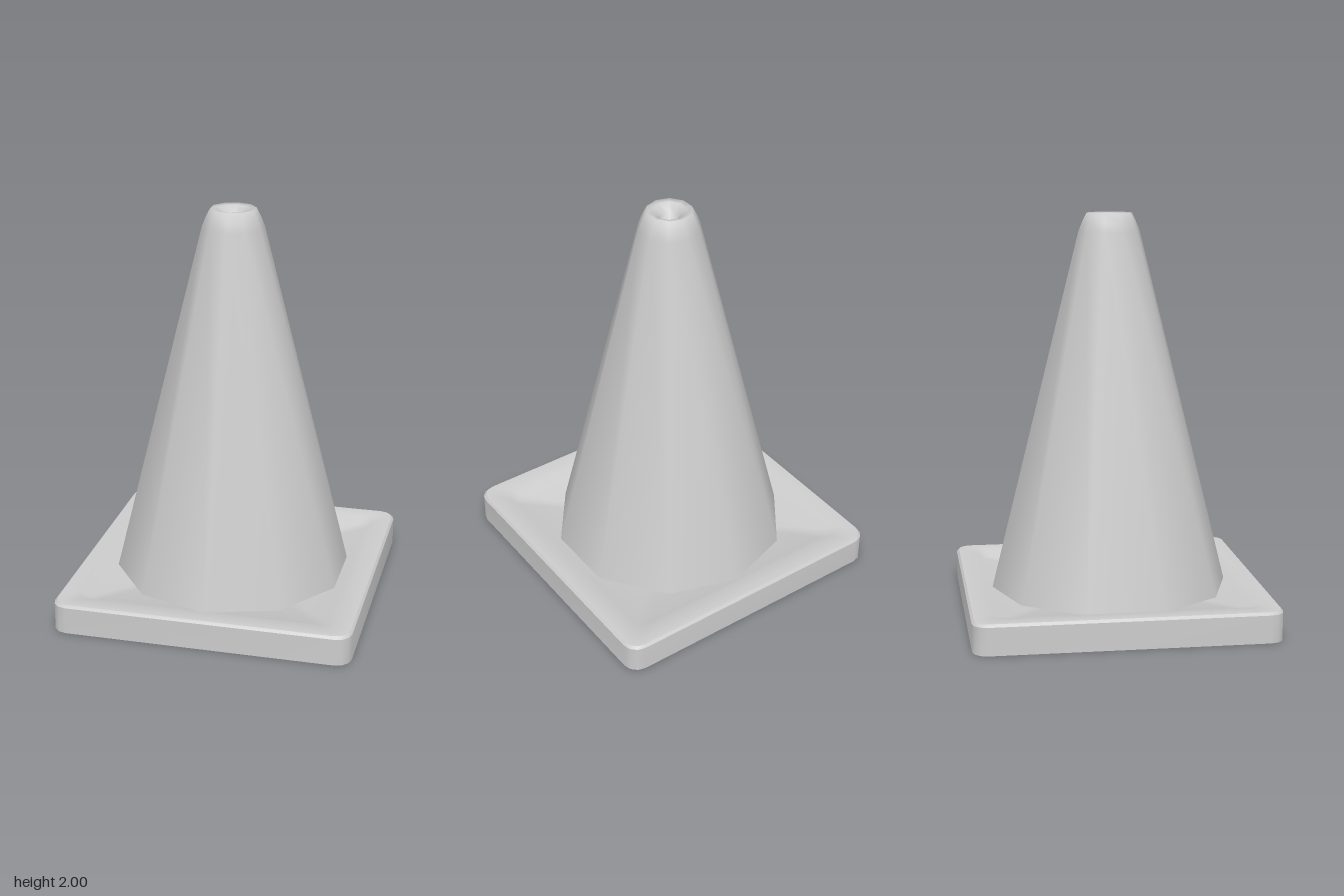
import * as THREE from 'three';
import { toCreasedNormals } from 'three/addons/utils/BufferGeometryUtils.js';

const material = new THREE.MeshStandardMaterial({ color: 0xcccccc, side: THREE.DoubleSide });

// Square outline with rounded corners, counter-clockwise seen from above
function roundedSquare(half, radius, y, steps = 3) {
  const points = [];
  for (let corner = 0; corner < 4; corner++) {
    const mid = Math.PI / 4 + corner * Math.PI / 2;
    const cx = Math.sign(Math.cos(mid)) * (half - radius);
    const cz = -Math.sign(Math.sin(mid)) * (half - radius);
    for (let i = 0; i <= steps; i++) {
      const a = (corner + i / steps) * Math.PI / 2;
      points.push([cx + radius * Math.cos(a), y, cz - radius * Math.sin(a)]);
    }
  }
  return points;
}

// Joins the outlines in order and closes the last one with a flat panel
function loft(rings) {
  const n = rings[0].length;
  const index = [];
  for (let r = 0; r < rings.length - 1; r++) {
    for (let i = 0; i < n; i++) {
      const a = r * n + i, b = r * n + (i + 1) % n;
      index.push(a, b, b + n, a, b + n, a + n);
    }
  }
  const last = (rings.length - 1) * n, centre = rings.length * n;
  for (let i = 0; i < n; i++) index.push(last + i, last + (i + 1) % n, centre);
  const positions = [...rings.flat(2), 0, rings[rings.length - 1][0][1], 0];
  const geometry = new THREE.BufferGeometry();
  geometry.setAttribute('position', new THREE.Float32BufferAttribute(positions, 3));
  geometry.setIndex(index);
  return toCreasedNormals(geometry, 0.7);
}

export function createModel() {
  const model = new THREE.Group();
  model.name = 'trafficCone';

  // Base: a shell open underneath, with a bevelled rim and a sunken top panel
  const base = new THREE.Mesh(loft([
    roundedSquare(0.743, 0.075, 0),
    roundedSquare(0.743, 0.075, 0.137),
    roundedSquare(0.732, 0.07, 0.15),
    roundedSquare(0.64, 0.06, 0.15),
    roundedSquare(0.6, 0.05, 0.12),
  ]), material);
  base.name = 'base';
  model.add(base);

  // Ten-sided cone with a rounded shoulder and a dimpled tip
  const profile = [
    [0.597, 0.12], [0.153, 1.91], [0.135, 1.955], [0.112, 2],
    [0.085, 1.995], [0.045, 1.96], [0.036, 1.93], [0, 1.925],
  ].map(([r, y]) => new THREE.Vector2(r, y));
  const cone = new THREE.Mesh(new THREE.LatheGeometry(profile, 10), material);
  cone.name = 'cone';
  model.add(cone);

  return model;
}
